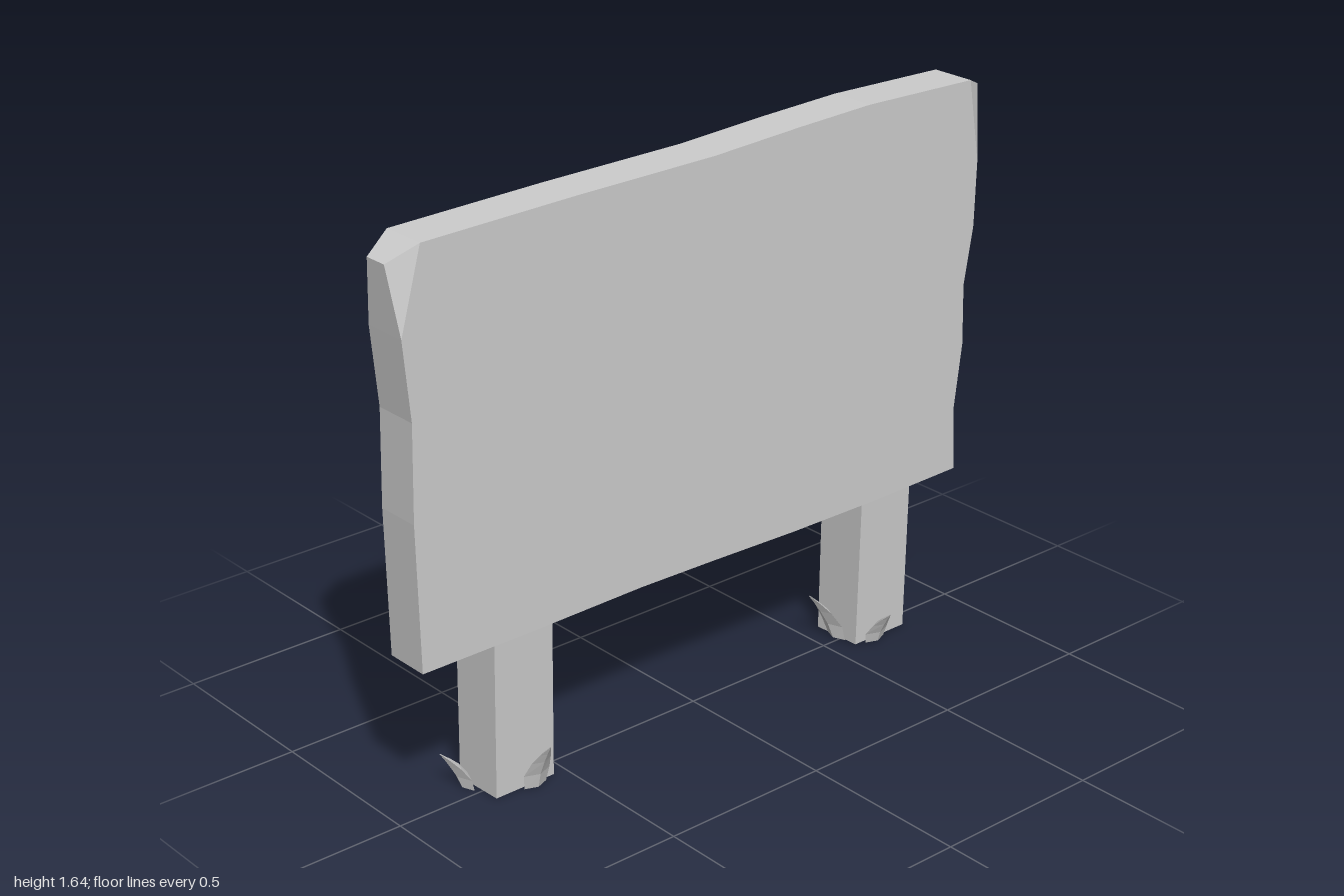
import * as THREE from 'three';

// Flat-shaded skin over closed rings of [x, y, z]; rings run counter-clockwise seen from the last ring.
function loft(rings, capTriangles) {
  const pos = [];
  const tri = (a, b, c) => pos.push(...a, ...b, ...c);
  const n = rings[0].length;
  for (let r = 0; r < rings.length - 1; r++) {
    const a = rings[r], b = rings[r + 1];
    for (let i = 0; i < n; i++) {
      const j = (i + 1) % n;
      tri(a[i], a[j], b[j]);
      tri(a[i], b[j], b[i]);
    }
  }
  const first = rings[0], last = rings[rings.length - 1];
  for (const [a, b, c] of capTriangles) {
    tri(first[a], first[c], first[b]);
    tri(last[a], last[b], last[c]);
  }
  const geo = new THREE.BufferGeometry();
  geo.setAttribute('position', new THREE.Float32BufferAttribute(pos, 3));
  geo.computeVertexNormals();
  return geo;
}

const QUAD = [[0, 1, 2], [0, 2, 3]];

// Wavy board; the two top corners pinch in depth
function boardGeometry() {
  const outline = [
    [-0.965, 0.465], [-0.6, 0.466], [-0.25, 0.471], [0, 0.467], [0.3, 0.46], [0.6, 0.459], [0.93, 0.465],
    [0.92, 0.66], [0.945, 0.85], [0.94, 1.03], [0.97, 1.2], [0.975, 1.39],
    [1, 1.6], [0.935, 1.63],
    [0.55, 1.638], [0.3, 1.629], [0, 1.614], [-0.45, 1.61], [-0.92, 1.6],
    [-1, 1.555], [-0.985, 1.37], [-0.965, 1.15], [-0.972, 0.88],
  ];
  const corners = [12, 19];
  const ring = (z, pinched) => outline.map(([x, y], i) => [x, y, corners.includes(i) ? pinched : z]);
  const kept = outline.map((_, i) => i).filter((i) => !corners.includes(i));
  const flat = kept.map((i) => new THREE.Vector2(...outline[i]));
  const caps = THREE.ShapeUtils.triangulateShape(flat, []).map((t) => t.map((k) => kept[k]));
  for (const c of corners) caps.push([c - 1, c, c + 1]);
  return loft([ring(-0.053, -0.025), ring(0.081, 0.045)], caps);
}

// Slightly tapered and twisted post
function postGeometry() {
  const ring = (y, l, r, back, front, skew) => [
    [l, y, front], [r + skew, y, front], [r, y, back], [l - skew, y, back],
  ];
  return loft([
    ring(0, -0.09, 0.095, -0.097, 0.055, 0.006),
    ring(0.46, -0.09, 0.095, -0.092, 0.066, 0.004),
    ring(1.185, -0.085, 0.085, -0.081, 0.03, 0),
  ], QUAD);
}

// Pointed leaf curling towards +z; lean shifts the tip sideways
function leafGeometry(height, reach, lean) {
  const sections = [ // height, outward, half width, half thickness
    [0, 0, 0.036, 0.014], [0.3, 0.1, 0.043, 0.017], [0.6, 0.4, 0.032, 0.014], [0.8, 0.68, 0.018, 0.008], [1, 1, 0.001, 0.001],
  ];
  return loft(sections.map(([h, o, w, t]) => {
    const x = lean * h, y = height * h, z = reach * o;
    return [[x - w, y, z], [x, y, z + t], [x + w, y, z], [x, y, z - t]];
  }), QUAD);
}

export function createModel() {
  const grey = new THREE.MeshStandardMaterial({ color: 0xcccccc });
  grey.name = 'plain grey';
  const model = new THREE.Group();
  model.name = 'signboard';
  const add = (parent, name, geo) => {
    const mesh = new THREE.Mesh(geo, grey);
    mesh.name = name;
    parent.add(mesh);
    return mesh;
  };

  add(model, 'board', boardGeometry());

  // Leaves around each post: name, x, z, turn, height, reach, lean
  const supports = [
    ['right', -0.64, [
      ['front', 0.03, 0.066, 0, 0.145, 0.07, 0],
      ['left', 0.095, -0.01, Math.PI / 2, 0.145, 0.065, 0.025],
      ['right', -0.11, -0.05, -Math.PI / 2, 0.105, 0.06, -0.03],
      ['back', -0.01, -0.075, Math.PI, 0.145, 0.068, 0],
    ]],
    ['left', 0.665, [
      ['front', -0.025, 0.066, 0, 0.105, 0.065, 0],
      ['left', 0.087, -0.025, Math.PI / 2, 0.145, 0.073, 0.035],
      ['right', -0.095, -0.02, -Math.PI / 2, 0.145, 0.08, -0.035],
      ['back', -0.035, -0.075, Math.PI, 0.145, 0.068, 0],
    ]],
  ];
  for (const [side, x, leaves] of supports) {
    const support = new THREE.Group();
    support.name = side + 'Support';
    support.position.x = x;
    add(support, side + 'Post', postGeometry());
    for (const [name, lx, lz, turn, height, reach, lean] of leaves) {
      const leaf = add(support, name + 'Leaf', leafGeometry(height, reach, lean));
      leaf.position.set(lx, 0, lz);
      leaf.rotation.y = turn;
    }
    model.add(support);
  }
  return model;
}
